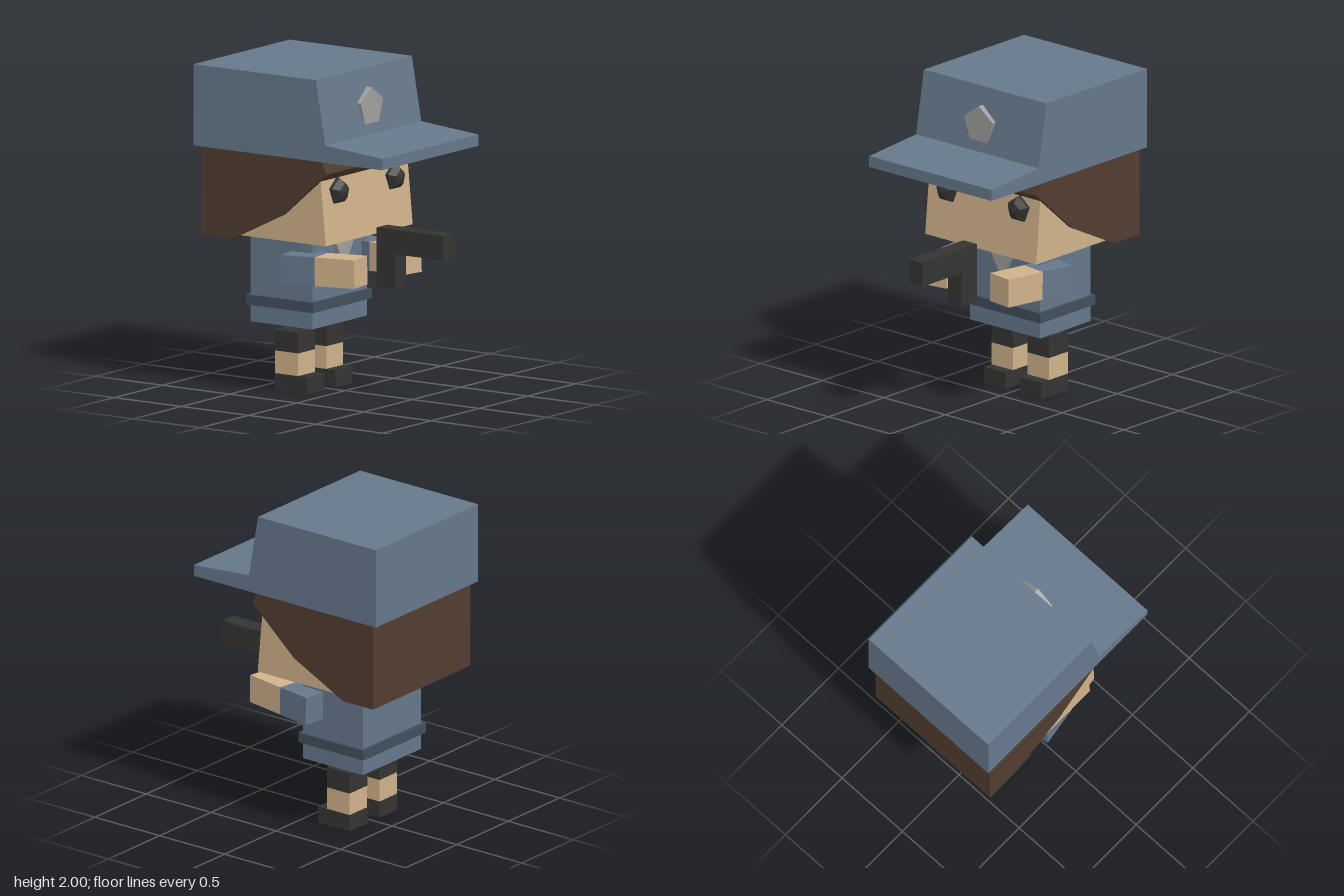
import * as THREE from 'three';

const material = (color) => new THREE.MeshStandardMaterial({ color });

export function createModel() {
  const model = new THREE.Group();
  const blue = material(0x66788c);
  const navy = material(0x414f5d);
  const skin = material(0xd0b28a);
  const brown = material(0x523d31);
  const black = material(0x353433);
  const silver = material(0xa09f9d);

  const add = (name, geometry, mat, parent = model) => {
    const mesh = new THREE.Mesh(geometry, mat);
    mesh.name = name;
    parent.add(mesh);
    return mesh;
  };

  // Box given by its limits on each axis
  const box = (x0, x1, y0, y1, z0, z1) =>
    new THREE.BoxGeometry(x1 - x0, y1 - y0, z1 - z0)
      .translate((x0 + x1) / 2, (y0 + y1) / 2, (z0 + z1) / 2);

  // Side profile of [z, y] points, extruded across x
  const profile = (points, width) => {
    const shape = new THREE.Shape(points.map(([z, y]) => new THREE.Vector2(z, y)));
    return new THREE.ExtrudeGeometry(shape, { depth: width, bevelEnabled: false })
      .translate(0, 0, -width / 2)
      .rotateY(-Math.PI / 2);
  };

  // Faceted geometry turned so that its axis points forward
  const faceForward = (geometry) => {
    const flat = geometry.toNonIndexed().rotateX(Math.PI / 2);
    flat.computeVertexNormals();
    return flat;
  };

  // Head, hair and cap
  add('head', profile([[0.18, 0.975], [0.135, 1.45], [-0.65, 1.45], [-0.65, 0.975]], 0.9), skin);
  add('hair', profile([[0.17, 1.5], [0.2, 1.42], [-0.12, 1.14], [-0.5, 0.952],
    [-0.73, 0.952], [-0.73, 1.5]], 0.95), brown);
  add('cap', profile([[0.14, 2], [0.21, 1.605], [0.635, 1.57], [0.635, 1.5],
    [-0.77, 1.5], [-0.77, 2]], 0.994), blue);
  add('capBadge', faceForward(new THREE.CylinderGeometry(0.122, 0.122, 0.08, 5))
    .rotateZ(Math.PI).translate(0, 1.767, 0.16), silver);

  // Torso, belt and collar
  add('torso', box(-0.284, 0.284, 0.415, 0.98, -0.5, -0.04), blue);
  add('belt', box(-0.305, 0.305, 0.52, 0.583, -0.52, -0.02), navy);
  add('collar', faceForward(new THREE.CylinderGeometry(0.133, 0.133, 0.06, 3))
    .translate(0, 0.893, -0.03), silver);

  // Five-sided domed eye, axis along y before turning
  const eyePoints = [[0.084, -0.05], [0.084, 0.02], [0.05, 0.057], [0, 0.072]]
    .map(([r, y]) => new THREE.Vector2(r, y));

  for (const side of [1, -1]) {
    const prefix = side > 0 ? 'left' : 'right';

    add(prefix + 'Eye', faceForward(new THREE.LatheGeometry(eyePoints, 5))
      .rotateZ(Math.PI).translate(side * 0.29, 1.288, 0.148), black);

    // Arm reaching forward and slightly inward
    const arm = new THREE.Group();
    arm.name = prefix + 'Arm';
    arm.position.set(side * 0.3, 0.796, 0.06);
    arm.rotation.set(-0.02, -side * 0.152, 0, 'YXZ');
    add(prefix + 'Hand', box(-0.088, 0.088, -0.088, 0.088, -0.02, 0.248), skin, arm);
    add(prefix + 'Sleeve', box(-0.089, 0.089, -0.089, 0.089, -0.248, -0.02), blue, arm);
    model.add(arm);

    // Leg, trouser hem and shoe
    const leg = new THREE.Group();
    leg.name = prefix + 'Leg';
    leg.position.x = side * 0.146 - 0.002;
    add(prefix + 'Trouser', box(-0.087, 0.087, 0.245, 0.375, -0.355, -0.18), black, leg);
    add(prefix + 'Shin', box(-0.086, 0.086, 0.105, 0.245, -0.354, -0.181), skin, leg);
    add(prefix + 'Shoe', box(-0.087, 0.087, 0, 0.105, -0.355, -0.112), black, leg);
    model.add(leg);
  }

  // Handheld prop: barrel and grip in one outline
  add('pistol', profile([[0.275, 1.043], [0.77, 1.043], [0.77, 0.892], [0.415, 0.892],
    [0.415, 0.677], [0.275, 0.677]], 0.11), black);

  return model;
}
